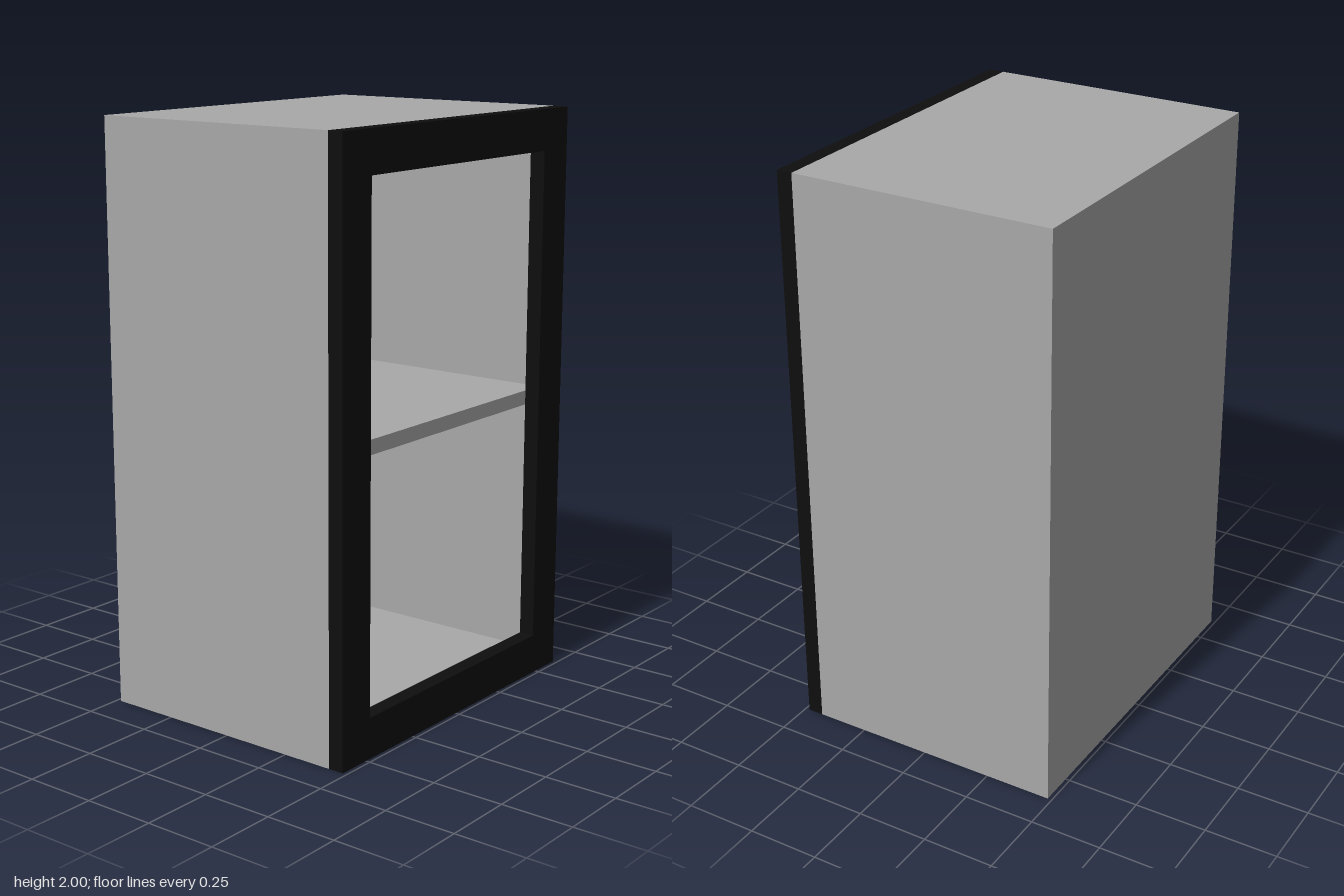
import * as THREE from 'three';

const W = 1.24, H = 2, D = 0.97;   // overall size
const T = 0.055;                   // panel thickness
const BACK = 0.1;                  // back panel thickness
const FRAME = 0.14;                // door frame width

const cabinetGrey = new THREE.MeshStandardMaterial({ color: 0xa8a8a8 });
cabinetGrey.name = 'cabinetGrey';
const frameBlack = new THREE.MeshStandardMaterial({ color: 0x0e0e0e });
frameBlack.name = 'frameBlack';

function addMesh(group, name, geometry, material, x, y, z) {
  const mesh = new THREE.Mesh(geometry, material);
  mesh.name = name;
  mesh.position.set(x, y, z);
  group.add(mesh);
}

// Rectangular surround standing on y = 0, with an opening inset by border
function surround(border, depth) {
  const shape = new THREE.Shape([
    new THREE.Vector2(-W / 2, 0), new THREE.Vector2(W / 2, 0),
    new THREE.Vector2(W / 2, H), new THREE.Vector2(-W / 2, H),
  ]);
  const x = W / 2 - border;
  shape.holes.push(new THREE.Path([
    new THREE.Vector2(-x, border), new THREE.Vector2(-x, H - border),
    new THREE.Vector2(x, H - border), new THREE.Vector2(x, border),
  ]));
  return new THREE.ExtrudeGeometry(shape, { depth, bevelEnabled: false });
}

export function createModel() {
  const group = new THREE.Group();
  group.name = 'cabinet';
  const zBack = -D / 2, zFrame = D / 2 - T;
  const inner = zFrame - zBack - BACK;

  // Sides, top and floor in one shell, closed by the back panel
  addMesh(group, 'shell', surround(T, inner), cabinetGrey, 0, 0, zBack + BACK);
  addMesh(group, 'backPanel', new THREE.BoxGeometry(W, H, BACK), cabinetGrey, 0, H / 2, zBack + BACK / 2);

  // Middle shelf
  addMesh(group, 'shelf', new THREE.BoxGeometry(W - 2 * T, 0.05, inner), cabinetGrey,
    0, 1.003, zBack + BACK + inner / 2);

  // Open door frame on the front
  addMesh(group, 'doorFrame', surround(FRAME, T), frameBlack, 0, 0, zFrame);

  return group;
}
